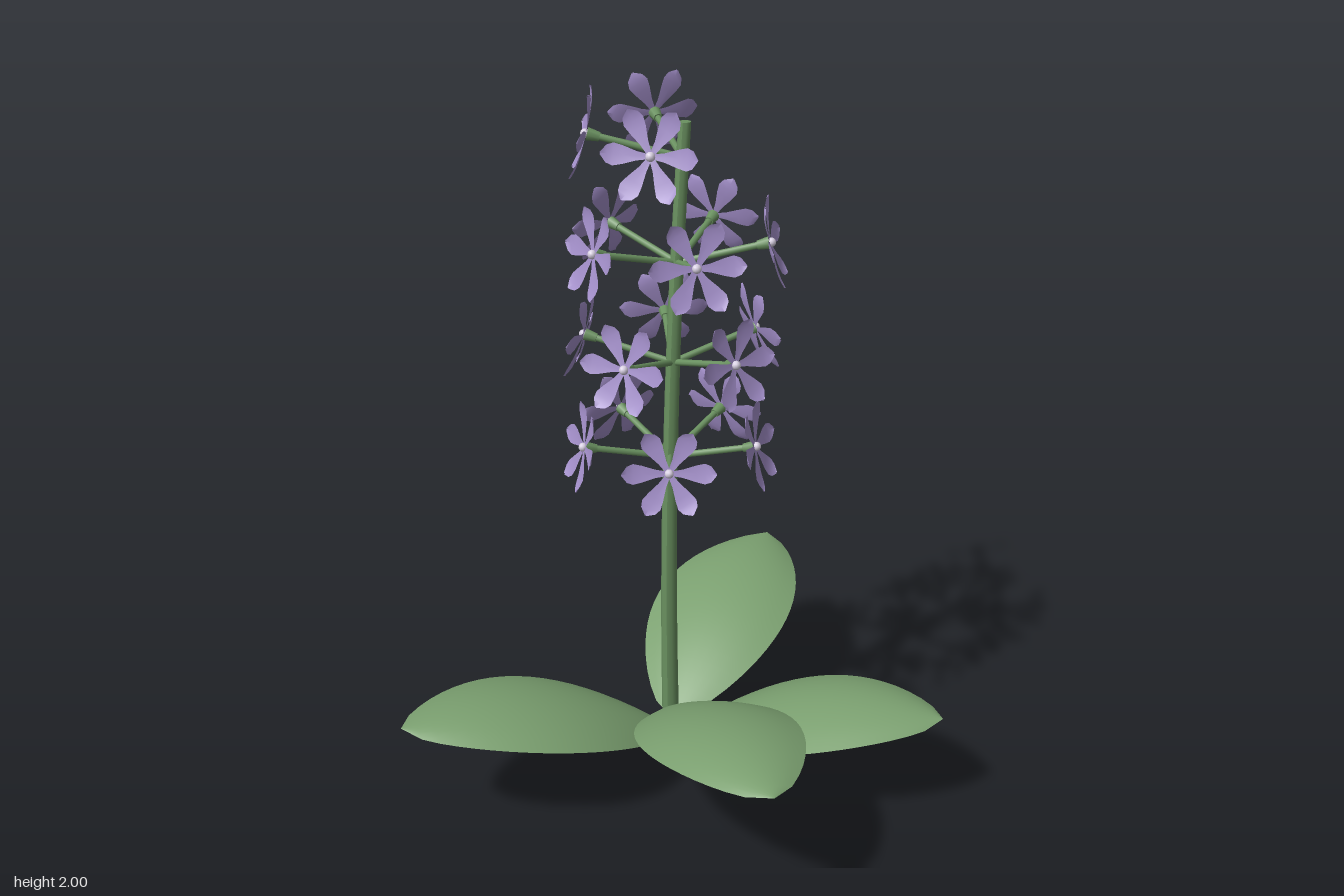
import * as THREE from 'three';
import { mergeGeometries } from 'three/addons/utils/BufferGeometryUtils.js';

const mat = (name, color, side = THREE.FrontSide) => {
  const m = new THREE.MeshStandardMaterial({ color, side });
  m.name = name;
  return m;
};

const HEIGHT = 1.92;

// Centre line of the gently bowed stem
function stemPoint(y) {
  const u = y / HEIGHT;
  return new THREE.Vector3(-0.1 + 0.06 * u * u, y, 0.075 + 0.105 * u - 0.084 * u * u);
}

// Moves every vertex of a sheet: s runs -1..1 across, t runs 0..1 along
function sheet(across, along, rule) {
  const g = new THREE.PlaneGeometry(2, 1, across, along);
  const p = g.attributes.position;
  for (let i = 0; i < p.count; i++) p.setXYZ(i, ...rule(p.getX(i), p.getY(i) + 0.5));
  g.computeVertexNormals();
  return g;
}

function stemGeometry() {
  const g = new THREE.CylinderGeometry(0.016, 0.025, HEIGHT, 10, 16);
  const p = g.attributes.position;
  for (let i = 0; i < p.count; i++) {
    const y = p.getY(i) + HEIGHT / 2;
    const c = stemPoint(y);
    p.setXYZ(i, p.getX(i) + c.x, y, p.getZ(i) + c.z);
  }
  g.computeVertexNormals();
  return g;
}

// Broad arched leaf growing along +x, its edges drooping
function leafGeometry() {
  return sheet(10, 20, (s, t) => {
    const w = Math.pow(Math.max(0, Math.sin(Math.PI * t)), 0.65);
    return [0.795 * t, 0.62 * t - 0.395 * t * t - 0.05 * s * s * w, -0.213 * s * w];
  });
}

// Six spoon-shaped petals around the +x axis
function petalsGeometry() {
  const outline = [[0.006, 0.006], [0.035, 0.011], [0.07, 0.022], [0.092, 0.027], [0.108, 0.021], [0.122, 0.002]];
  const petals = [];
  for (let k = 0; k < 6; k++) {
    const g = sheet(2, outline.length - 1, (s, t) => {
      const [r, w] = outline[Math.round(t * (outline.length - 1))];
      return [0.014 * t * t + 0.004 * s * s * t, s * w, r];
    });
    petals.push(g.rotateX(k * Math.PI / 3));
  }
  return mergeGeometries(petals);
}

export function createModel() {
  const model = new THREE.Group();
  model.name = 'floweringPlant';

  const stemGreen = mat('stem green', 0x6a9160);
  const leafGreen = mat('leaf green', 0x7ba070, THREE.DoubleSide);
  const violet = mat('petal violet', 0xa490cb, THREE.DoubleSide);
  const pale = mat('flower centre pale', 0xd8d0e2);

  const add = (parent, name, geometry, material) => {
    const m = new THREE.Mesh(geometry, material);
    m.name = name;
    parent.add(m);
    return m;
  };

  add(model, 'stem', stemGeometry(), stemGreen);

  // Basal leaves, each turned by the golden angle and set a little higher
  const leafGeo = leafGeometry();
  for (let i = 0; i < 4; i++) {
    const leaf = add(model, 'leaf', leafGeo, leafGreen);
    leaf.position.copy(stemPoint(0.077 + 0.038 * i));
    leaf.rotation.y = -THREE.MathUtils.degToRad(137.5 * i);
  }

  // Flowers in whorls of five, the top whorl unfinished
  const stalkGeo = new THREE.CylinderGeometry(0.009, 0.009, 0.23, 8).rotateZ(-Math.PI / 2).translate(0.115, 0, 0);
  const calyxGeo = new THREE.CylinderGeometry(0.017, 0.012, 0.032, 8).rotateZ(-Math.PI / 2).translate(0.228, 0, 0);
  const petalGeo = petalsGeometry().translate(0.246, 0, 0);
  const centreGeo = new THREE.SphereGeometry(0.012, 10, 8).translate(0.249, 0, 0);
  for (let i = 0; i < 18; i++) {
    const tier = Math.floor(i / 5);
    const flower = new THREE.Group();
    flower.name = 'flower';
    flower.position.copy(stemPoint(1.008 + 0.274 * tier));
    flower.rotation.set(0, -THREE.MathUtils.degToRad(72 * (i % 5) + 30 * tier), 0.25);
    add(flower, 'stalk', stalkGeo, stemGreen);
    add(flower, 'calyx', calyxGeo, stemGreen);
    add(flower, 'petals', petalGeo, violet);
    add(flower, 'flowerCentre', centreGeo, pale);
    model.add(flower);
  }
  return model;
}
